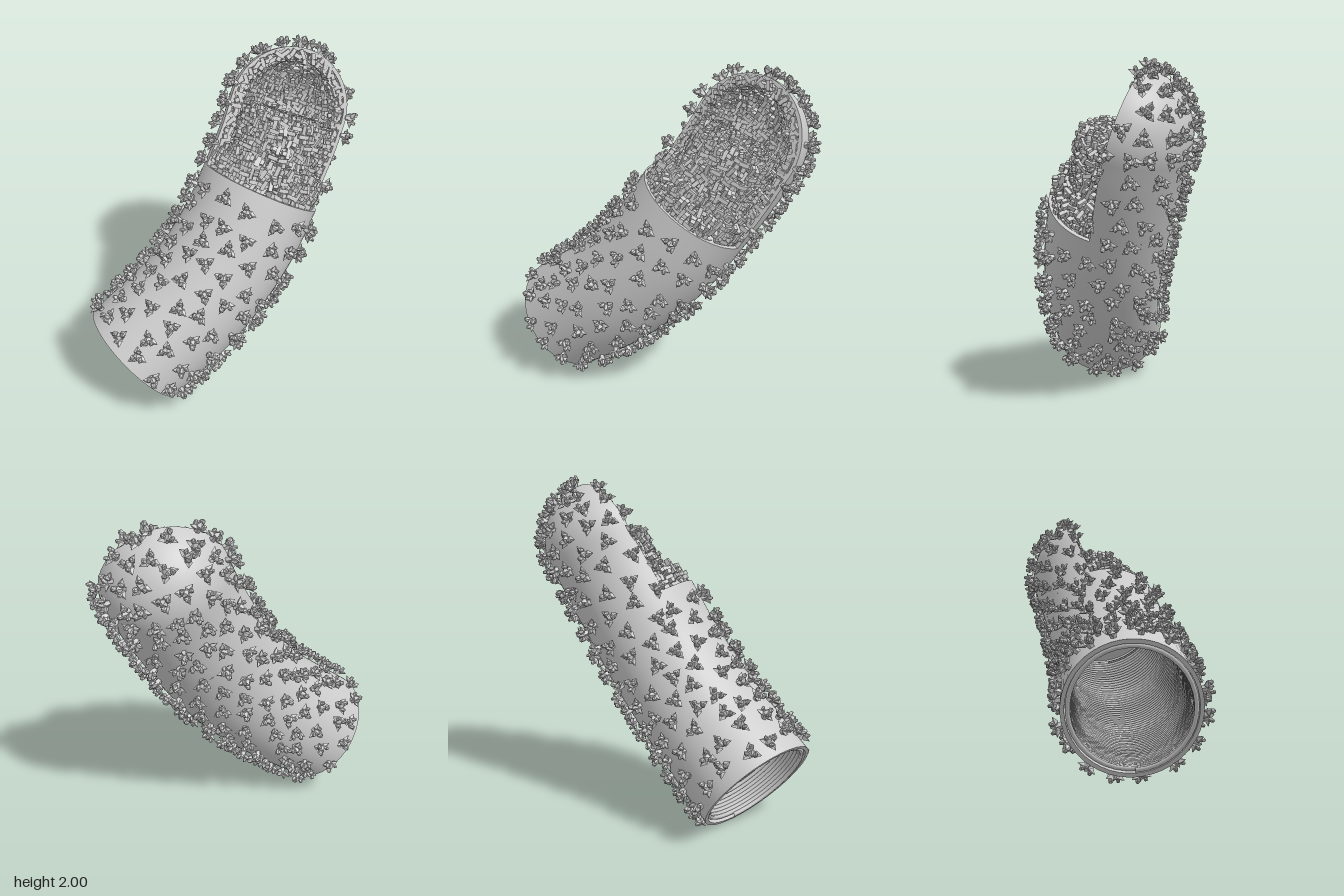
import * as THREE from 'three';
import { mergeGeometries } from 'three/addons/utils/BufferGeometryUtils.js';

const V = (x, y, z) => new THREE.Vector3(x, y, z);
const PI = Math.PI;
// Envelope radius and thickness, height of the cut and its turn about the axis
const R = 0.355, WALL = 0.022, CUT = 0.73, TILT = 0.15;

// Bent centre line from the open end to the centre of the dome
const axis = new THREE.CatmullRomCurve3([
  V(-0.625, 0.285, 0.17), V(-0.22, 0.61, 0.11), V(0.05, 0.92, 0.03),
  V(0.22, 1.2, -0.05), V(0.35, 1.44, -0.12), V(0.425, 1.605, -0.175),
]);
const LENGTH = axis.getLength();

let seed = 7;
const rand = () => (seed = (seed * 16807) % 2147483647) / 2147483647;

// Point and directions on the capsule: v 0..1 is the body, 1..2 the dome;
// angle 0 is the +x side, PI/2 the front
function frame(v, angle, r) {
  const u = Math.min(Math.max(v, 0), 1);
  const c = axis.getPointAt(u), T = axis.getTangentAt(u);
  const front = V(0, 0, 1).addScaledVector(T, -T.z).normalize();
  const side = T.clone().cross(front);
  const dir = side.multiplyScalar(Math.cos(angle)).addScaledVector(front, Math.sin(angle));
  const phi = Math.max(0, v - 1) * PI / 2;
  const normal = dir.clone().multiplyScalar(Math.cos(phi)).addScaledVector(T, Math.sin(phi));
  const along = T.clone().multiplyScalar(Math.cos(phi)).addScaledVector(dir, -Math.sin(phi));
  return { pos: c.addScaledVector(normal, r), normal, along };
}

const smooth = new THREE.MeshStandardMaterial({ color: 0xcccccc, side: THREE.DoubleSide });
const faceted = new THREE.MeshStandardMaterial({ color: 0xcccccc, flatShading: true });

function add(group, name, geometry, material) {
  const mesh = new THREE.Mesh(geometry, material);
  mesh.name = name;
  group.add(mesh);
}

// Curved sheet given by a rule over the unit square
function sheet(fn, na, nb) {
  const g = new THREE.PlaneGeometry(1, 1, na, nb), p = g.attributes.position;
  for (let i = 0; i < p.count; i++) {
    const q = fn(p.getX(i) + 0.5, p.getY(i) + 0.5);
    p.setXYZ(i, q.x, q.y, q.z);
  }
  g.computeVertexNormals();
  return g;
}
const mix = THREE.MathUtils.lerp;
const wall = (v0, v1, a0, a1, r) =>
  sheet((a, b) => frame(mix(v0, v1, b), mix(a0, a1, a), r).pos, 48, 32);
const annulus = (v, a0, a1, r0, r1) =>
  sheet((a, b) => frame(v, mix(a0, a1, a), mix(r0, r1, b)).pos, 48, 2);
const edge = (v0, v1, a) =>
  sheet((s, b) => frame(mix(v0, v1, b), a, mix(R - WALL, R, s)).pos, 1, 60);

// Helical strand following the centre line
class Helix extends THREE.Curve {
  constructor(v0, v1, r, turns) {
    super();
    Object.assign(this, { v0, v1, r, turns, arcLengthDivisions: 2000 });
  }
  getPoint(t, target = V(0, 0, 0)) {
    return target.copy(frame(mix(this.v0, this.v1, t), t * this.turns * 2 * PI, this.r).pos);
  }
}

// Three-armed spike with a knobbly head, standing on y = 0
function spikeGeometry() {
  const parts = [
    new THREE.CylinderGeometry(0.024, 0.014, 0.04, 5).translate(0, 0.018, 0).toNonIndexed(),
    new THREE.OctahedronGeometry(0.026, 0).translate(0, 0.042, 0),
  ];
  for (let i = 0; i < 3; i++) {
    const a = i * 2 * PI / 3;
    parts.push(
      new THREE.OctahedronGeometry(1, 0).scale(0.036, 0.016, 0.022).rotateZ(0.2)
        .translate(0.026, 0.034, 0).rotateY(a),
      new THREE.IcosahedronGeometry(1, 0).scale(0.013, 0.022, 0.016).rotateZ(-0.3)
        .translate(0.026, 0.05, 0.008).rotateY(a));
  }
  return mergeGeometries(parts);
}

// Crossed-block protein subunit
function subunitGeometry() {
  return mergeGeometries([
    new THREE.BoxGeometry(0.066, 0.028, 0.022),
    new THREE.BoxGeometry(0.022, 0.03, 0.058).translate(0.01, 0.012, 0),
    new THREE.BoxGeometry(0.026, 0.06, 0.024).translate(-0.014, 0.01, 0.004),
  ]);
}

// Copy of a part set on a surface, its y along "up", turned by "twist" and leaning by "lean"
function stand(geometry, pos, up, along, twist, lean = 0) {
  const m = new THREE.Matrix4().makeBasis(along, up, along.clone().cross(up)).setPosition(pos);
  m.multiply(new THREE.Matrix4().makeRotationY(twist));
  m.multiply(new THREE.Matrix4().makeRotationX(lean));
  return geometry.clone().applyMatrix4(m);
}

export function createModel() {
  const model = new THREE.Group();
  model.name = 'cutawayCapsule';
  const BACK0 = PI + TILT, BACK1 = 2 * PI + TILT;

  // Envelope: whole tube below the cut, back half only above it
  const envelope = new THREE.Group();
  envelope.name = 'envelope';
  model.add(envelope);
  for (const [r, label] of [[R, 'outer'], [R - WALL, 'inner']]) {
    add(envelope, label + 'Tube', wall(0, CUT, 0, 2 * PI, r), smooth);
    add(envelope, label + 'BackHalf', wall(CUT, 1, BACK0, BACK1, r), smooth);
    add(envelope, label + 'Dome', wall(1, 2, BACK0, BACK1, r), smooth);
  }
  add(envelope, 'bottomRim', annulus(0, 0, 2 * PI, R - WALL, R), smooth);
  add(envelope, 'cutRim', annulus(CUT, TILT, BACK0, R - WALL, R), smooth);
  add(envelope, 'rightCutEdge', edge(CUT, 2, BACK0), smooth);
  add(envelope, 'leftCutEdge', edge(CUT, 2, BACK1), smooth);

  // Surface spikes in staggered rings
  const spike = spikeGeometry(), spikes = [];
  const spikeRing = (v, count, offset, jitter) => {
    for (let i = 0; i < count; i++) {
      const turn = ((i + offset + (rand() - 0.5) * 0.4) / count % 1) * 2 * PI;
      const vv = v + (rand() - 0.5) * jitter;
      if (vv > CUT - 0.015 && turn > 0.04 && turn < PI - 0.04) continue;
      const f = frame(vv, turn + TILT, R - 0.004);
      spikes.push(stand(spike, f.pos, f.normal, f.along, rand() * 6.28, (rand() - 0.5) * 0.3));
    }
  };
  for (let i = 0; i < 13; i++) spikeRing(0.045 + i * 0.077, 16, (i % 2) * 0.5, 0.03);
  for (let i = 0; i < 5; i++) {
    const v = 1.1 + i * 0.2;
    spikeRing(v, Math.max(5, Math.round(20 * Math.cos((v - 1) * PI / 2))), (i % 2) * 0.5, 0.06);
  }
  add(model, 'surfaceSpikes', mergeGeometries(spikes), faceted);

  // Stepped inner layers that show in the opening
  const MID = 0.81, TOP = 0.965, R1 = 0.293, R2 = 0.21, HOLE = 0.075, LINING = R - WALL - 0.018;
  const core = new THREE.Group();
  core.name = 'core';
  model.add(core);
  add(core, 'matrixSleeve', wall(CUT - 0.04, MID, 0, 2 * PI, R1), smooth);
  add(core, 'matrixTop', annulus(MID, 0, 2 * PI, R2, R1), smooth);
  add(core, 'matrixFloor', annulus(CUT - 0.02, 0, 2 * PI, HOLE, R - WALL), smooth);
  add(core, 'innerSleeve', wall(MID, TOP, 0, 2 * PI, R2), smooth);
  add(core, 'innerTop', annulus(TOP, 0, 2 * PI, HOLE, R2), smooth);

  // Protein subunits covering those layers and the back wall
  const unit = subunitGeometry(), units = [];
  const unitRow = (v, a0, a1, r, facing) => {
    const ring = r * Math.cos(Math.max(0, v - 1) * PI / 2);
    const count = Math.max(2, Math.round(ring * (a1 - a0) / 0.054));
    for (let i = 0; i < count; i++) {
      const f = frame(v, mix(a0, a1, (i + 0.5 + (rand() - 0.5) * 0.5) / count), r + (rand() - 0.5) * 0.02);
      const twist = Math.floor(rand() * 4) * PI / 2 + (rand() - 0.5) * 0.5, lean = (rand() - 0.5) * 0.8;
      if (facing === 'up') units.push(stand(unit, f.pos, f.along, f.normal, twist, lean));
      else units.push(stand(unit, f.pos, f.normal.multiplyScalar(facing), f.along, twist, lean));
    }
  };
  const step = 0.052 / LENGTH;
  for (let v = CUT; v < MID; v += step) unitRow(v, 0, 2 * PI, R1 + 0.01, 1);
  for (let v = MID; v < TOP; v += step) unitRow(v, 0, 2 * PI, R2 + 0.01, 1);
  for (let v = MID; v < 1; v += step) unitRow(v, BACK0, BACK1, LINING, -1);
  for (let v = 1; v < 1.97; v += 0.1) unitRow(v, BACK0, BACK1, LINING, -1);
  for (const r of [0.23, 0.275]) unitRow(MID, 0, 2 * PI, r, 'up');
  for (const r of [0.11, 0.155, 0.195]) unitRow(TOP, 0, 2 * PI, r, 'up');
  // Row of subunits just inside each cut edge
  for (const a of [BACK0 + 0.06, BACK1 - 0.06]) {
    for (let v = CUT + 0.02; v < 1.95; v += v < 1 ? step : 0.09) {
      const f = frame(v, a, LINING - 0.004);
      units.push(stand(unit, f.pos, f.along.clone().cross(f.normal), f.along, rand() * 6.28));
    }
  }
  add(core, 'proteinSubunits', mergeGeometries(units), faceted);

  // Coiled strands: wide coil seen from the open end, narrow coil in the top hole
  add(core, 'wideCoil', new THREE.TubeGeometry(new Helix(0.004, 0.7, 0.318, 56), 2000, 0.013, 5), smooth);
  add(core, 'narrowCoil', new THREE.TubeGeometry(new Helix(0.72, TOP, HOLE, 11), 260, 0.014, 6), smooth);
  add(core, 'coilFloor', annulus(0.7, 0, 2 * PI, 0, 0.31), smooth);

  return model;
}
